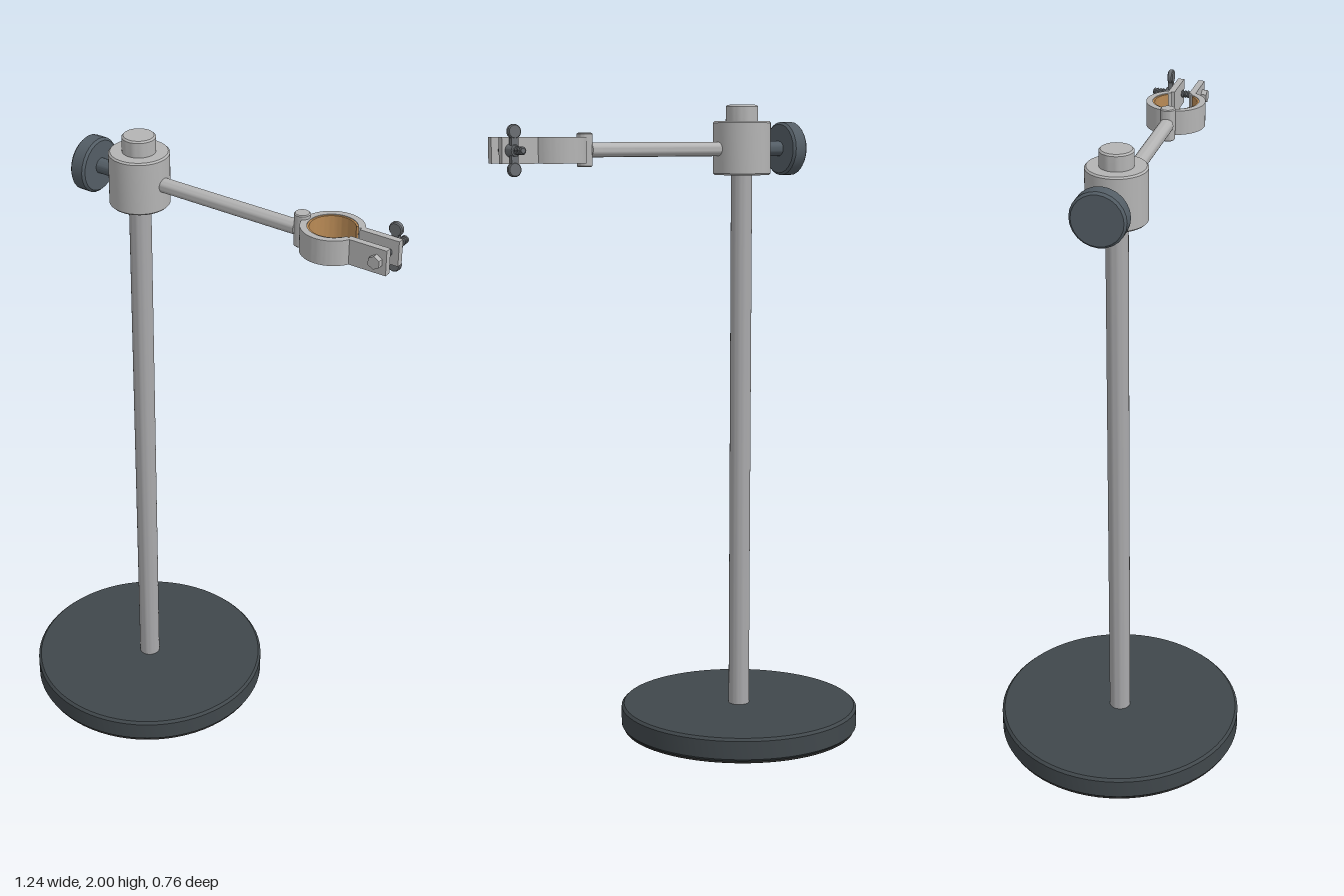
import * as THREE from 'three';
import { toCreasedNormals } from 'three/addons/utils/BufferGeometryUtils.js';

const mat = (name, color, side = THREE.FrontSide) => {
  const m = new THREE.MeshStandardMaterial({ color, side });
  m.name = name;
  return m;
};

export function createModel() {
  const steel = mat('brushed steel', 0xb4b4b4);
  const rodSteel = mat('rod steel', 0xa9a9ab);
  const iron = mat('dark painted iron', 0x40474b);
  const plastic = mat('knob plastic', 0x535d65);
  const hardware = mat('dark hardware', 0x6b6f73);
  const cork = mat('cork', 0xb98a55);
  const rubber = mat('rubber', 0x2b2b2b);

  const model = new THREE.Group();
  model.name = 'laboratoryStand';
  const postX = -0.24, armY = 1.865, ringX = 0.423, boltX = 0.59;

  const add = (name, geometry, material, x = 0, y = 0, z = 0, parent = model) => {
    const mesh = new THREE.Mesh(geometry, material);
    mesh.name = name;
    mesh.position.set(x, y, z);
    parent.add(mesh);
    return mesh;
  };

  // Solid disc or rod with chamfered rims, running from a to b along y
  const turned = (r, a, b, bevel = 0.004, sides = 40) => {
    const pts = [[0, a], [r - bevel, a], [r, a + bevel], [r, b - bevel], [r - bevel, b], [0, b]];
    const g = new THREE.LatheGeometry(pts.map(p => new THREE.Vector2(...p)), sides);
    return toCreasedNormals(g, 0.5);
  };
  const alongX = g => g.rotateZ(-Math.PI / 2);
  const alongZ = g => g.rotateX(Math.PI / 2);

  // Base and upright
  add('base', turned(0.382, 0.006, 0.08, 0.008, 72), iron, postX);
  add('basePad', turned(0.375, 0, 0.008, 0.001, 72), rubber, postX);
  add('uprightRod', turned(0.033, 0.07, 1.97), rodSteel, postX);
  add('collar', turned(0.09, 1.785, 1.95, 0.005, 48), steel, postX);
  add('topCap', turned(0.05, 1.945, 2.0, 0.005), steel, postX);

  // Tightening knob on the right side of the collar
  add('knobStem', alongX(turned(0.023, -0.39, -0.31, 0.002, 24)), plastic, 0, armY);
  add('knob', alongX(turned(0.083, -0.435, -0.383, 0.007, 24)), plastic, 0, armY);

  // Arm and hinge pin
  add('arm', alongX(turned(0.022, -0.17, 0.31, 0.003, 28)), steel, 0, armY);
  add('hingePin', turned(0.023, -0.05, 0.05, 0.003, 28), steel, 0.324, armY);

  // Open ring sector, extruded upright and centred on y = 0
  const extrudeFlat = (shape, height) => {
    const g = new THREE.ExtrudeGeometry(shape, { depth: height, bevelEnabled: false, curveSegments: 40 });
    return toCreasedNormals(g.translate(0, 0, -height / 2).rotateX(-Math.PI / 2), 0.5);
  };
  const sector = (inner, outer, gap) => {
    const s = new THREE.Shape();
    s.absarc(0, 0, outer, gap, 2 * Math.PI - gap, false);
    s.absarc(0, 0, inner, 2 * Math.PI - gap, gap, true);
    s.closePath();
    return s;
  };

  // Ring clamp with cork lining and two lugs
  const clamp = new THREE.Group();
  clamp.name = 'ringClamp';
  clamp.position.set(ringX, armY, 0);
  model.add(clamp);
  add('clampRing', extrudeFlat(sector(0.071, 0.091, 0.45), 0.076), steel, 0, 0, 0, clamp);
  add('corkLining', extrudeFlat(sector(0.065, 0.0715, 0.62), 0.072), cork, 0, 0, 0, clamp);
  for (const s of [-1, 1]) {
    add(s > 0 ? 'frontLug' : 'backLug', new THREE.BoxGeometry(0.125, 0.076, 0.02),
      steel, 0.135, 0, s * 0.033, clamp);
  }

  // Clamp bolt with hexagonal head and raised thread
  const bolt = new THREE.Group();
  bolt.name = 'clampBolt';
  bolt.position.set(boltX, armY, 0);
  model.add(bolt);
  add('boltShank', alongZ(turned(0.009, -0.115, 0.05, 0.002, 20)), hardware, 0, 0, 0, bolt);
  for (let z = -0.11; z < 0.02; z += 0.009) {
    add('thread', new THREE.TorusGeometry(0.009, 0.003, 6, 20), hardware, 0, 0, z, bolt);
  }
  const head = alongZ(new THREE.CylinderGeometry(0.02, 0.02, 0.017, 6));
  add('boltHead', toCreasedNormals(head, 0.5), steel, 0, 0, 0.051, bolt);

  // Wing nut with two rounded wings
  const wingNut = new THREE.Group();
  wingNut.name = 'wingNut';
  bolt.add(wingNut);
  const hub = new THREE.CylinderGeometry(0.021, 0.016, 0.03, 24);
  add('nutHub', toCreasedNormals(alongZ(hub), 0.5), hardware, 0, 0, -0.057, wingNut);
  for (const s of [-1, 1]) {
    add('wingNeck', new THREE.BoxGeometry(0.022, 0.045, 0.014), hardware, 0, s * 0.03, -0.058, wingNut);
    add('wing', alongZ(turned(0.021, -0.008, 0.008, 0.003, 24)), hardware, 0, s * 0.054, -0.058, wingNut);
  }

  return model;
}
